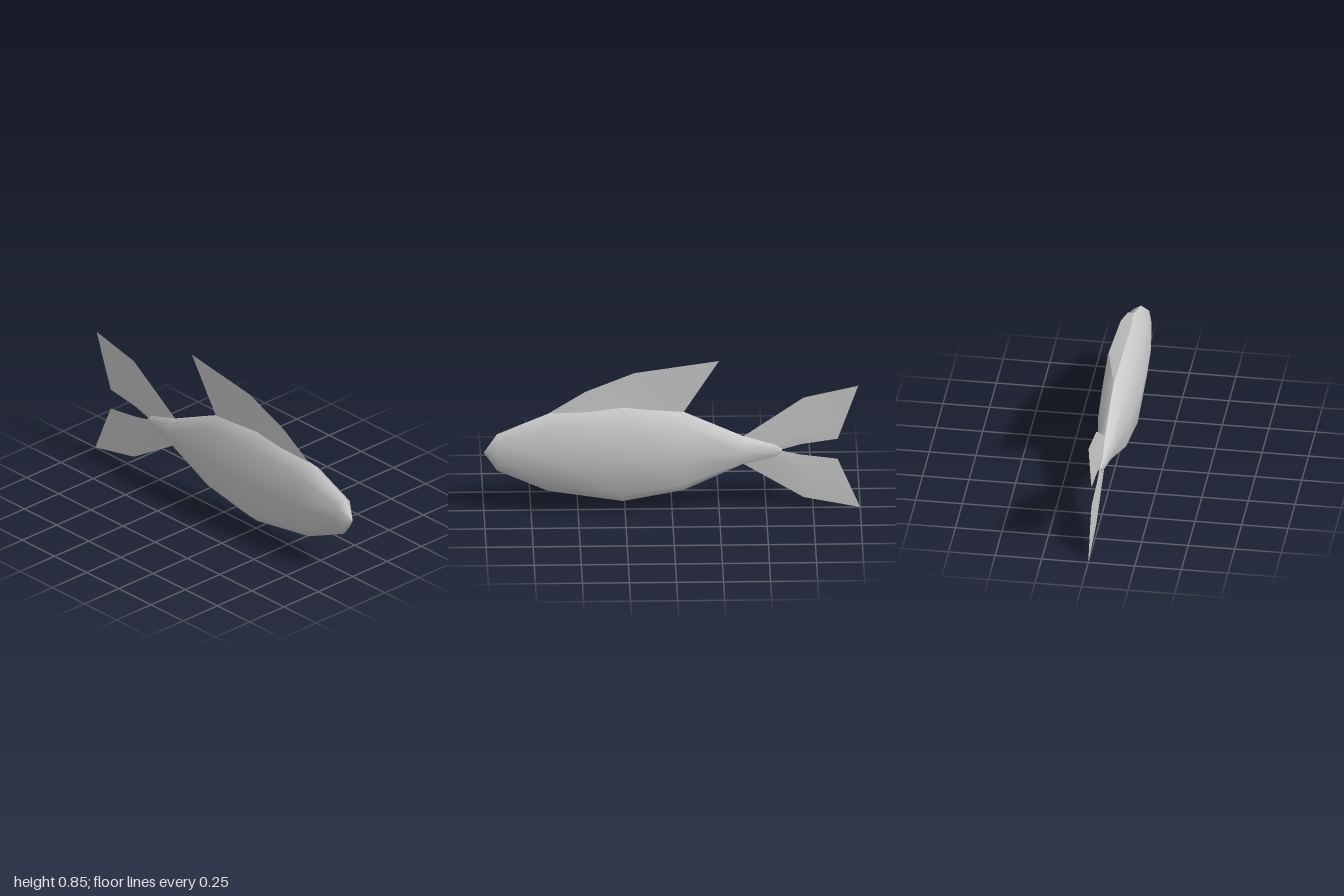
import * as THREE from 'three';

const material = new THREE.MeshStandardMaterial({ color: 0xcccccc, side: THREE.DoubleSide });

// Skins rows of [x, y, z] points (rows run tail to nose, points top to bottom).
// Each flank is its own mesh, so the midline keeps a sharp ridge.
function mirroredSkin(name, rows) {
  const group = new THREE.Group();
  group.name = name;
  const n = rows[0].length;
  for (const side of [1, -1]) {
    const positions = rows.flat().flatMap(([x, y, z]) => [x, y, z * side]);
    const index = [];
    for (let i = 0; i < rows.length - 1; i++) {
      for (let j = 0; j < n - 1; j++) {
        const a = i * n + j, b = a + 1, d = a + n, c = d + 1;
        if (side > 0) index.push(a, b, d, b, c, d);
        else index.push(a, d, b, b, d, c);
      }
    }
    const geometry = new THREE.BufferGeometry();
    geometry.setAttribute('position', new THREE.Float32BufferAttribute(positions, 3));
    geometry.setIndex(index);
    geometry.computeVertexNormals();
    const mesh = new THREE.Mesh(geometry, material);
    mesh.name = name + (side > 0 ? 'FrontFlank' : 'BackFlank');
    group.add(mesh);
  }
  return group;
}

// Body: x, top, bottom, half width of each station
function createBody() {
  const stations = [
    [-0.585, 0.345, 0.33, 0.008],
    [-0.55, 0.38, 0.3, 0.02],
    [-0.38, 0.42, 0.26, 0.042],
    [-0.06, 0.565, 0.112, 0.085],
    [0.26, 0.605, 0.052, 0.105],
    [0.66, 0.56, 0.115, 0.093],
    [0.93, 0.445, 0.235, 0.058],
    [1, 0.34, 0.34, 0],
  ];
  const rows = stations.map(([x, top, bottom, w]) => {
    const mid = 0.337;
    return [
      [x, top, 0],
      [x, mid + (top - mid) * 0.74, w * 0.76],
      [x, mid, w],
      [x, mid + (bottom - mid) * 0.75, w * 0.76],
      [x, bottom, 0],
    ];
  });
  return mirroredSkin('body', rows);
}

// Dorsal fin: a wedge, thick at the back and sharp at the outer edge
function createDorsalFin() {
  return mirroredSkin('dorsalFin', [
    [[-0.25, 0.855, 0], [-0.06, 0.56, 0.002]],
    [[0.2, 0.79, 0], [0.26, 0.596, 0.013]],
    [[0.46, 0.685, 0], [0.46, 0.572, 0.012]],
    [[0.66, 0.56, 0], [0.66, 0.553, 0.002]],
  ]);
}

// Tail lobe: upper and lower edge points with a slight bulge between them
function createTailLobe(name, sections, bulgeAt) {
  const rows = sections.map(([x1, y1, x2, y2, t]) => [
    [x1, y1, 0],
    [x1 + (x2 - x1) * bulgeAt, y1 + (y2 - y1) * bulgeAt, t],
    [x2, y2, 0],
  ]);
  return mirroredSkin(name, rows);
}

export function createModel() {
  const fish = new THREE.Group();
  fish.name = 'fish';
  fish.add(
    createBody(),
    createDorsalFin(),
    createTailLobe('upperTailLobe', [
      [-0.99, 0.705, -0.88, 0.4, 0.001],
      [-0.7, 0.64, -0.68, 0.37, 0.005],
      [-0.38, 0.42, -0.58, 0.34, 0.01],
    ], 0.7),
    createTailLobe('lowerTailLobe', [
      [-0.88, 0.285, -1, 0.005, 0.001],
      [-0.68, 0.312, -0.7, 0.065, 0.005],
      [-0.58, 0.335, -0.38, 0.26, 0.01],
    ], 0.3),
  );
  return fish;
}
